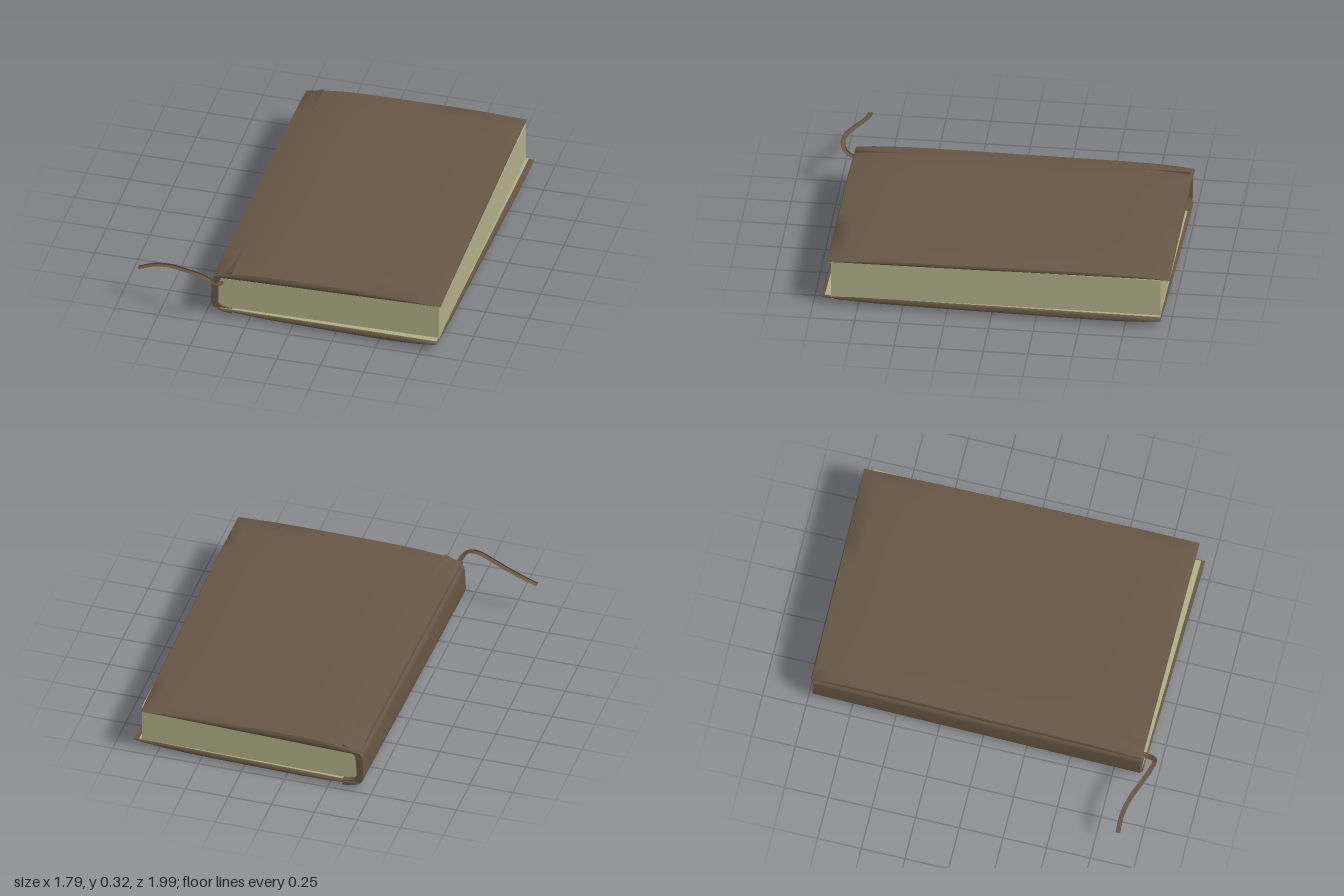
import * as THREE from 'three';
import { toCreasedNormals } from 'three/addons/utils/BufferGeometryUtils.js';

const leather = new THREE.MeshStandardMaterial({ color: 0x665644 });
leather.name = 'brown leather';
const paper = new THREE.MeshStandardMaterial({ color: 0xb0ae88 });
paper.name = 'pale paper';

function addMesh(group, name, geometry, material) {
  const mesh = new THREE.Mesh(geometry, material);
  mesh.name = name;
  group.add(mesh);
  return mesh;
}

// Slab over four [x, z] corners (back left, back right, front left, front right),
// with its lower and upper heights given by rules of u (across) and v (along).
function slab([bl, br, fl, fr], lower, upper, bulge = 0) {
  const g = new THREE.BoxGeometry(2, 2, 2, 20, 4, 20);
  const p = g.attributes.position;
  const mix = THREE.MathUtils.lerp;
  for (let i = 0; i < p.count; i++) {
    const u = p.getX(i), h = p.getY(i), v = p.getZ(i);
    const s = (u + 1) / 2, t = (v + 1) / 2;
    const inset = 1 - bulge * h * h;
    const x = mix(mix(bl[0], br[0], s), mix(fl[0], fr[0], s), t);
    const z = mix(mix(bl[1], br[1], s), mix(fl[1], fr[1], s), t);
    const cx = (bl[0] + br[0]) / 2;
    p.setXYZ(i, cx + (x - cx) * inset, mix(lower(u, v), upper(u, v), (h + 1) / 2), z * inset);
  }
  return toCreasedNormals(g, 0.9);
}

// Curved spine shell, slightly skewed along the length of the book
function spineGeometry() {
  const shape = new THREE.Shape();
  shape.moveTo(-0.34, 0.016);
  shape.bezierCurveTo(-0.42, 0.022, -0.462, 0.04, -0.462, 0.09);
  shape.lineTo(-0.456, 0.21);
  shape.bezierCurveTo(-0.456, 0.25, -0.42, 0.255, -0.34, 0.297);
  shape.lineTo(-0.34, 0.25);
  shape.bezierCurveTo(-0.4, 0.245, -0.42, 0.235, -0.418, 0.2);
  shape.lineTo(-0.424, 0.09);
  shape.quadraticCurveTo(-0.42, 0.05, -0.34, 0.05);
  shape.closePath();
  const g = new THREE.ExtrudeGeometry(shape, { depth: 1.88, bevelEnabled: false, steps: 2, curveSegments: 10 });
  g.translate(0, 0, -0.975);
  const p = g.attributes.position;
  for (let i = 0; i < p.count; i++) p.setX(i, p.getX(i) - 0.012 * p.getZ(i));
  return toCreasedNormals(g, 0.9);
}

// Flat ribbon with a four-cornered section swept along a path
function ribbonGeometry(points, width, thickness) {
  const curve = new THREE.CatmullRomCurve3(points.map(a => new THREE.Vector3(...a)));
  const n = 48, pos = [], index = [];
  const up = new THREE.Vector3(0, 1, 0);
  for (let i = 0; i <= n; i++) {
    const c = curve.getPointAt(i / n), t = curve.getTangentAt(i / n);
    const side = new THREE.Vector3().crossVectors(t, up).normalize();
    const normal = new THREE.Vector3().crossVectors(side, t);
    for (const [a, b] of [[-1, -1], [1, -1], [1, 1], [-1, 1]]) {
      const q = c.clone().addScaledVector(side, a * width / 2).addScaledVector(normal, b * thickness / 2);
      pos.push(q.x, q.y, q.z);
    }
    if (i === n) break;
    for (let k = 0; k < 4; k++) {
      const a = i * 4 + k, b = i * 4 + (k + 1) % 4;
      index.push(a, a + 4, b, b, a + 4, b + 4);
    }
  }
  const e = n * 4;
  index.push(0, 1, 2, 0, 2, 3, e, e + 2, e + 1, e, e + 3, e + 2);
  const g = new THREE.BufferGeometry();
  g.setAttribute('position', new THREE.Float32BufferAttribute(pos, 3));
  // Flip the winding so faces point outwards
  for (let i = 0; i < index.length; i += 3) [index[i + 1], index[i + 2]] = [index[i + 2], index[i + 1]];
  g.setIndex(index);
  return toCreasedNormals(g, 0.9);
}

export function createModel() {
  const book = new THREE.Group();
  book.name = 'book';

  // Page block, a little thicker towards the open edge
  addMesh(book, 'pages', slab(
    [[-0.415, -0.945], [0.845, -0.945], [-0.43, 0.895], [0.84, 0.9]],
    () => 0.04, u => 0.268 + 0.015 * u), paper);

  // Covers, gently crowned and thinning towards their rims
  addMesh(book, 'topCover', slab(
    [[-0.432, -0.99], [0.838, -0.995], [-0.455, 0.912], [0.855, 0.922]],
    u => 0.262 + 0.018 * u,
    (u, v) => 0.319 - 0.02 * v ** 6 - (u < 0 ? 0.038 : 0.016) * u ** 4, 0.007), leather);
  addMesh(book, 'bottomCover', slab(
    [[-0.432, -0.982], [0.892, -0.95], [-0.455, 0.915], [0.84, 0.957]],
    u => 0.05 + 0.006 * u,
    (u, v) => 0.02 * v ** 6 + 0.024 * u ** 4, 0.007).scale(1, 1, 1), leather);
  flip(book.getObjectByName('bottomCover').geometry);

  // Endpapers peeking out along the inside of both covers
  addMesh(book, 'topEndpaper', slab(
    [[-0.4, -0.975], [0.835, -0.98], [-0.42, 0.908], [0.848, 0.915]],
    u => 0.258 + 0.018 * u, u => 0.264 + 0.018 * u), paper);
  addMesh(book, 'bottomEndpaper', slab(
    [[-0.4, -0.96], [0.862, -0.945], [-0.42, 0.908], [0.835, 0.935]],
    u => 0.048 + 0.006 * u, u => 0.053 + 0.006 * u), paper);

  addMesh(book, 'spine', spineGeometry(), leather);

  // Bookmark ribbon curling out from the top of the spine
  const ribbon = addMesh(book, 'ribbon', ribbonGeometry([
    [-0.405, 0.225, 0.88], [-0.415, 0.22, 0.93], [-0.43, 0.245, 0.97], [-0.455, 0.275, 0.985],
    [-0.51, 0.293, 0.978], [-0.6, 0.288, 0.945], [-0.7, 0.275, 0.905], [-0.8, 0.252, 0.882], [-0.895, 0.217, 0.882],
  ], 0.026, 0.009), leather.clone());
  ribbon.material = leather;
  return book;
}

// Reverses the winding of a slab whose crowned side was mapped downwards
function flip(g) {
  const p = g.attributes.position, n = g.attributes.normal;
  for (const a of [p, n]) {
    for (let i = 0; i < a.count; i += 3) {
      const b = [a.getX(i + 1), a.getY(i + 1), a.getZ(i + 1)];
      a.setXYZ(i + 1, a.getX(i + 2), a.getY(i + 2), a.getZ(i + 2));
      a.setXYZ(i + 2, ...b);
    }
  }
  for (let i = 0; i < n.count; i++) n.setXYZ(i, -n.getX(i), -n.getY(i), -n.getZ(i));
}
